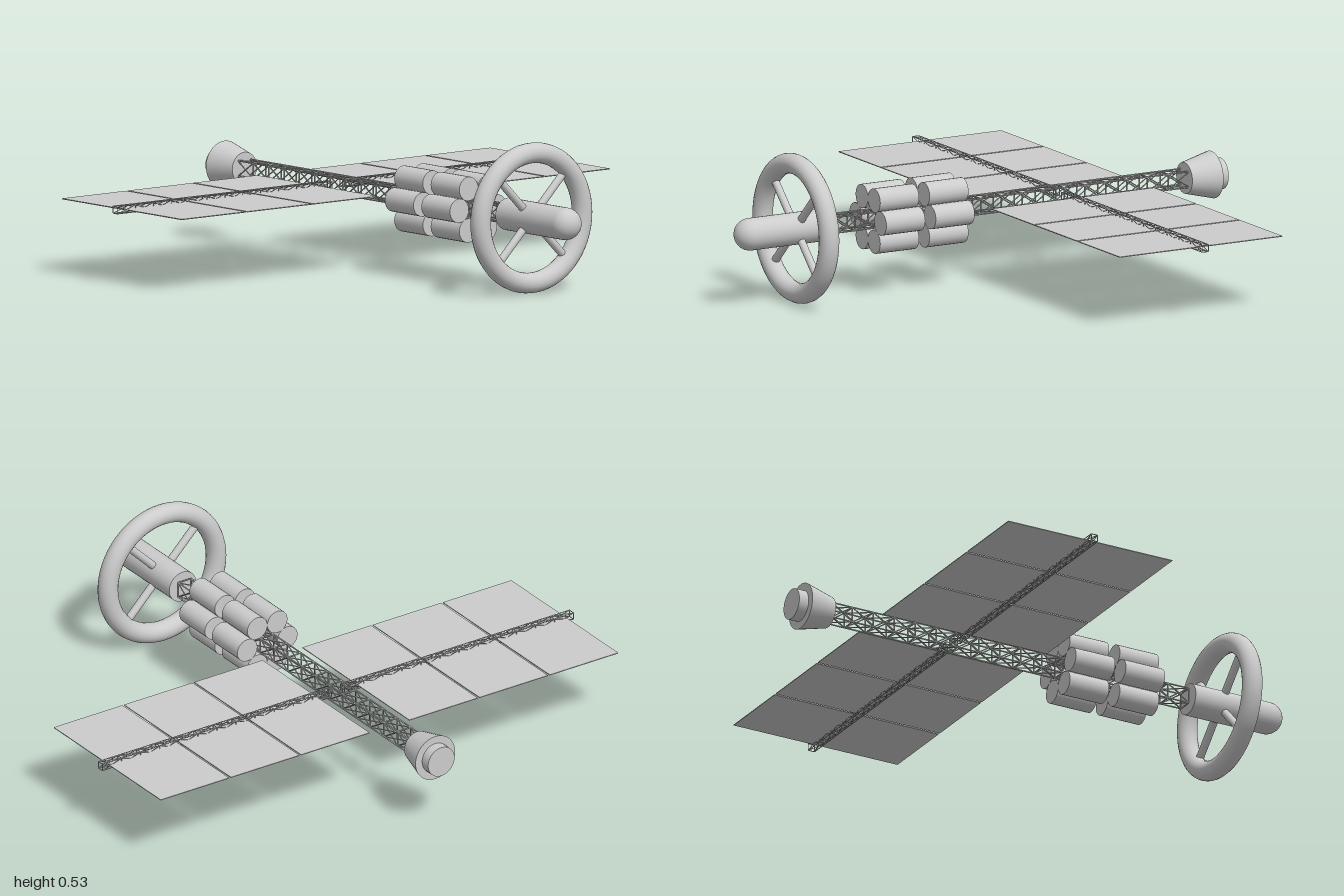
import * as THREE from 'three';
import { mergeGeometries } from 'three/addons/utils/BufferGeometryUtils.js';

const AXIS_Y = 0.265;
const grey = new THREE.MeshStandardMaterial({ color: 0xcccccc });

function addMesh(parent, name, geometry, x = 0, y = 0, z = 0) {
  const mesh = new THREE.Mesh(geometry, grey);
  mesh.name = name;
  mesh.position.set(x, y, z);
  parent.add(mesh);
  return mesh;
}

// Thin round bar between two points
function bar(a, b, radius, sides = 5) {
  const dir = b.clone().sub(a);
  const g = new THREE.CylinderGeometry(radius, radius, dir.length(), sides, 1, true);
  g.applyQuaternion(new THREE.Quaternion().setFromUnitVectors(new THREE.Vector3(0, 1, 0), dir.normalize()));
  const mid = a.clone().add(b).multiplyScalar(0.5);
  return g.translate(mid.x, mid.y, mid.z);
}

// Square lattice girder along z from z0 to z1, with crossed braces on all four sides
function trussGeometry(z0, z1, half, bays, radius) {
  const bars = [];
  const corner = (i, z) => {
    const a = Math.PI / 4 + (i * Math.PI) / 2;
    return new THREE.Vector3(Math.sign(Math.cos(a)) * half, Math.sign(Math.sin(a)) * half, z);
  };
  const step = (z1 - z0) / bays;
  for (let i = 0; i < 4; i++) {
    bars.push(bar(corner(i, z0), corner(i, z1), radius));
    for (let k = 0; k <= bays; k++) {
      const z = z0 + k * step;
      bars.push(bar(corner(i, z), corner(i + 1, z), radius));
      if (k === bays) continue;
      bars.push(bar(corner(i, z), corner(i + 1, z + step), radius * 0.8));
      bars.push(bar(corner(i + 1, z), corner(i, z + step), radius * 0.8));
    }
  }
  return mergeGeometries(bars);
}

// Cylinder or cone frustum lying along z
function zCylinder(rFront, rBack, zBack, zFront, sides = 32) {
  return new THREE.CylinderGeometry(rFront, rBack, zFront - zBack, sides)
    .rotateX(Math.PI / 2)
    .translate(0, 0, (zFront + zBack) / 2);
}

export function createModel() {
  const ship = new THREE.Group();
  ship.name = 'spacecraft';
  const body = new THREE.Group();
  body.name = 'body';
  body.position.y = AXIS_Y;
  ship.add(body);

  // Command module with domed nose
  addMesh(body, 'commandModule', zCylinder(0.057, 0.057, 0.609, 0.923));
  addMesh(body, 'noseDome', new THREE.SphereGeometry(0.057, 32, 12, 0, Math.PI * 2, 0, Math.PI / 2).rotateX(Math.PI / 2), 0, 0, 0.923);

  // Habitat wheel and its spokes
  const wheel = new THREE.Group();
  wheel.name = 'habitatWheel';
  wheel.position.z = 0.737;
  body.add(wheel);
  addMesh(wheel, 'wheelRim', new THREE.TorusGeometry(0.229, 0.036, 20, 64));
  for (let i = 0; i < 4; i++) {
    const a = Math.PI / 4 + (i * Math.PI) / 2;
    const dir = new THREE.Vector3(Math.cos(a), Math.sin(a), 0);
    addMesh(wheel, 'wheelSpoke', bar(dir.clone().multiplyScalar(0.03), dir.clone().multiplyScalar(0.21), 0.014, 16));
  }

  // Main girder
  addMesh(body, 'mainTruss', trussGeometry(-0.838, 0.597, 0.028, 17, 0.0028));

  // Two clusters of six tanks
  for (const zBack of [0.088, 0.288]) {
    const cluster = new THREE.Group();
    cluster.name = 'tankCluster';
    body.add(cluster);
    for (let i = 0; i < 6; i++) {
      const a = (i * Math.PI) / 3;
      addMesh(cluster, 'tank', zCylinder(0.0425, 0.0425, zBack, zBack + 0.157, 24), 0.085 * Math.cos(a), 0.085 * Math.sin(a), 0);
    }
  }

  // Engine bell and exhaust
  addMesh(body, 'engineBell', zCylinder(0.056, 0.084, -0.945, -0.835));
  addMesh(body, 'engineExhaust', zCylinder(0.056, 0.056, -0.982, -0.9));

  // Solar wings, mirrored left and right
  for (const side of [1, -1]) {
    const wing = new THREE.Group();
    wing.name = side > 0 ? 'leftSolarWing' : 'rightSolarWing';
    wing.position.z = -0.334;
    body.add(wing);
    const truss = addMesh(wing, 'wingTruss', trussGeometry(0.028, 0.998, 0.0125, 12, 0.0016));
    truss.rotation.y = (side * Math.PI) / 2;
    for (let i = 0; i < 3; i++) {
      addMesh(wing, 'solarPanel', new THREE.BoxGeometry(0.29, 0.003, 0.658), side * (0.229 + i * 0.2975), 0, 0);
    }
  }
  return ship;
}
